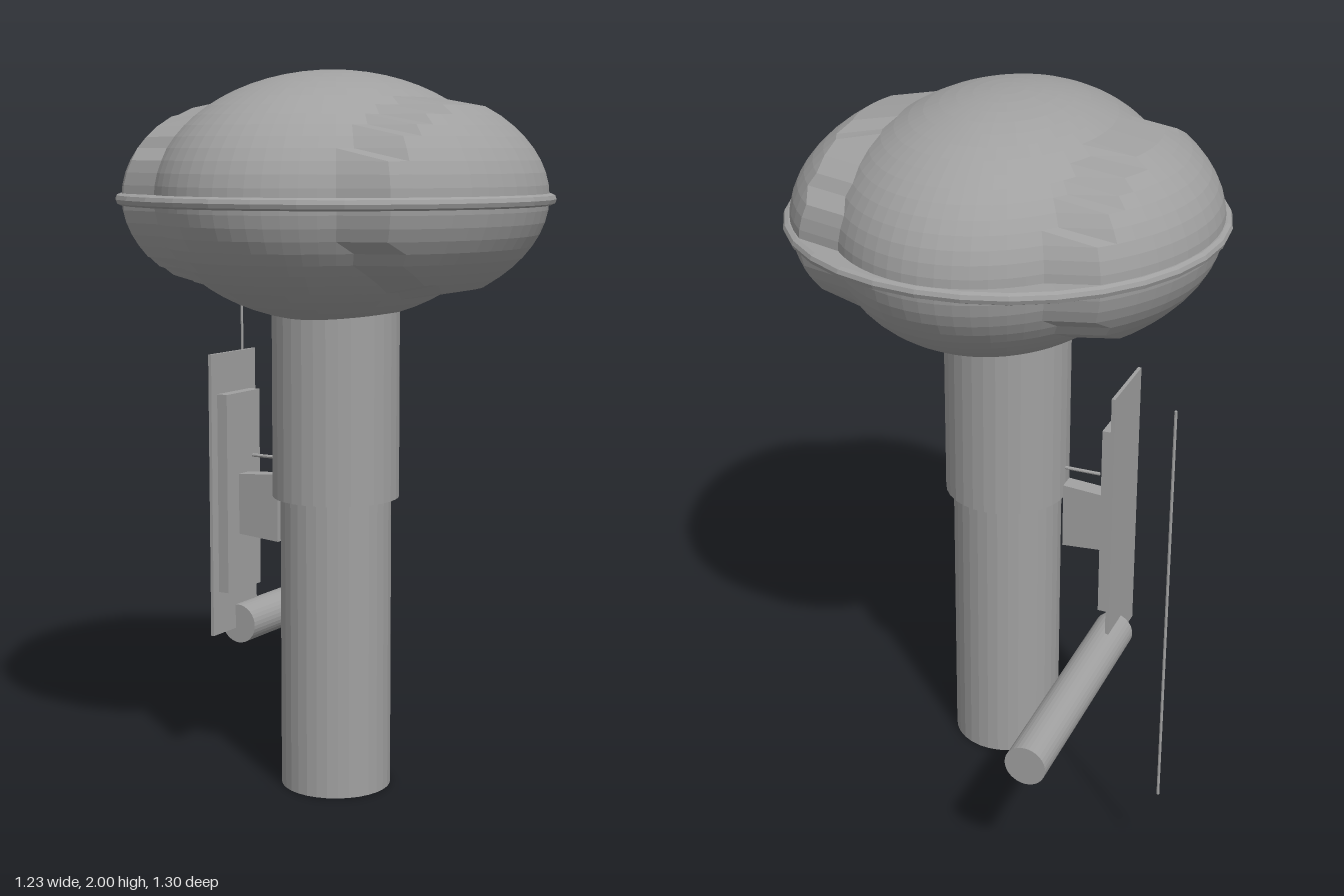
import * as THREE from 'three';

export function createModel() {
  const model = new THREE.Group();
  model.name = 'domedColumn';
  const grey = new THREE.MeshStandardMaterial({ color: 0xa0a0a0 });
  grey.name = 'plain grey';
  grey.flatShading = true;

  // Everything is placed around the column axis
  const body = new THREE.Group();
  body.name = 'body';
  body.position.set(0.01, 0, 0.05);
  model.add(body);

  function add(name, geometry, x, y, z) {
    const mesh = new THREE.Mesh(geometry, grey);
    mesh.name = name;
    mesh.position.set(x, y, z);
    body.add(mesh);
    return mesh;
  }
  const rod = (r, length, sides) => new THREE.CylinderGeometry(r, r, length, sides);

  // Column and wider sleeve
  add('column', rod(0.155, 0.83, 32), 0, 0.415, 0);
  add('sleeve', rod(0.177, 0.57, 32), 0, 1.115, 0);

  // Dome: squashed sphere whose two side caps are pulled outwards
  const dome = new THREE.SphereGeometry(1, 64, 32);
  const p = dome.attributes.position;
  for (let i = 0; i < p.count; i++) {
    const x = p.getX(i) * 0.44;
    const pull = Math.abs(x) > 0.295 ? 1.32 : 1;
    p.setXYZ(i, x * pull, p.getY(i) * 0.34, p.getZ(i) * 0.582);
  }
  dome.computeVertexNormals();
  add('dome', dome, 0, 1.66, 0);

  // Rim around the dome's widest line
  const rimProfile = [
    [0.5, -0.014], [0.585, -0.016], [0.596, -0.011], [0.6, 0],
    [0.596, 0.011], [0.585, 0.016], [0.5, 0.014], [0.5, -0.014],
  ].map(([r, y]) => new THREE.Vector2(r, y));
  add('rim', new THREE.LatheGeometry(rimProfile, 32), 0, 1.655, 0);

  // Side panel: thin backing plate, thicker front plate
  add('backingPlate', new THREE.BoxGeometry(0.01, 0.815, 0.22), -0.35, 0.808, 0);
  add('innerPlate', new THREE.BoxGeometry(0.034, 0.575, 0.165), -0.329, 0.813, 0);

  // Bracket, slightly taller towards the column
  const bracket = new THREE.BoxGeometry(0.135, 0.175, 0.05);
  const b = bracket.attributes.position;
  for (let i = 0; i < b.count; i++) if (b.getX(i) > 0) b.setY(i, b.getY(i) * 1.11);
  bracket.computeVertexNormals();
  add('bracket', bracket, -0.247, 0.778, 0);

  // Pin, rear pipe and free-standing aerial
  add('pin', rod(0.005, 0.12, 8), -0.22, 0.92, 0).rotation.z = Math.PI / 2;
  add('pipe', rod(0.057, 0.7, 32), -0.335, 0.415, -0.35).rotation.x = Math.PI / 2;
  add('aerial', rod(0.004, 1.16, 8), -0.625, 0.81, -0.45);

  return model;
}
